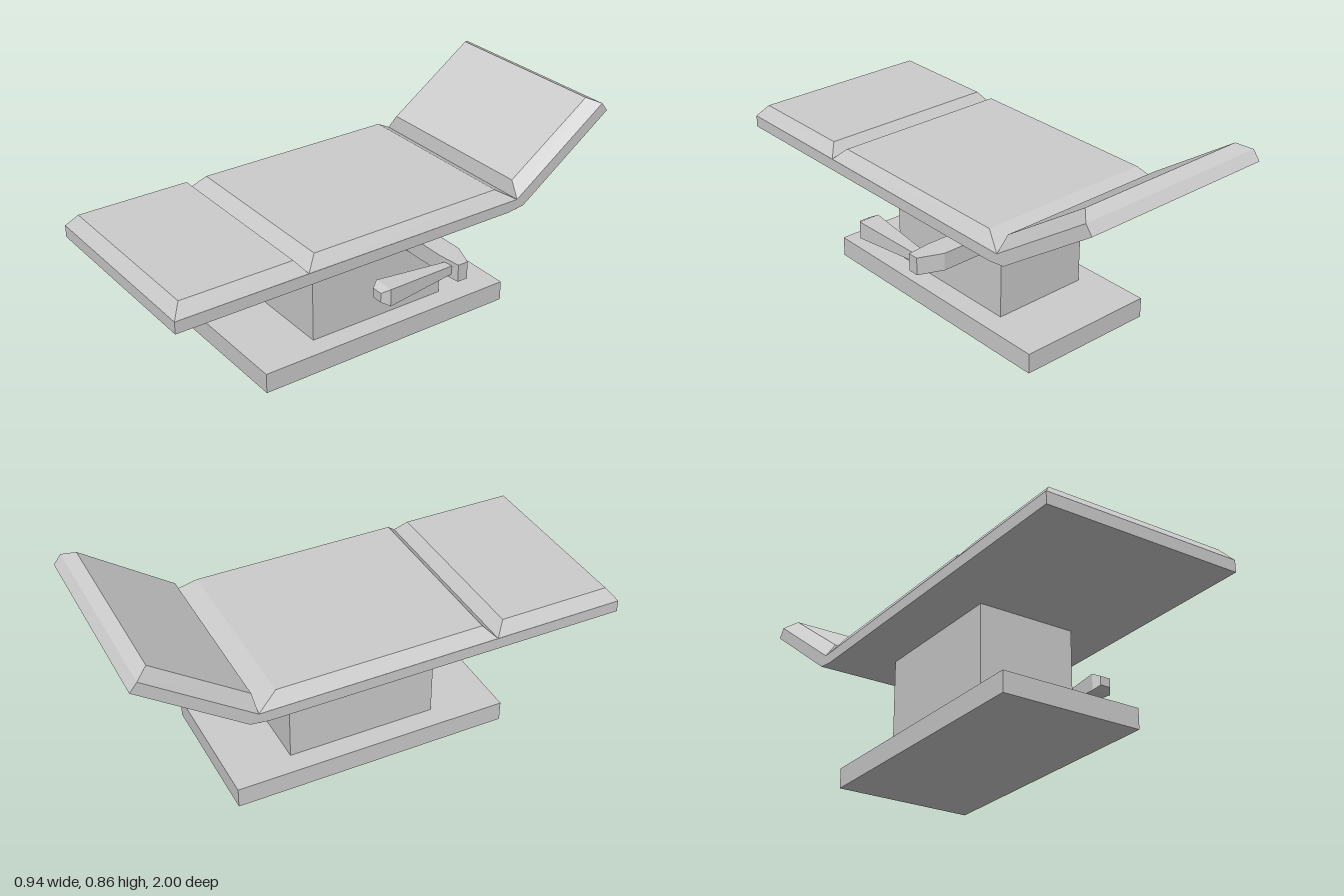
import * as THREE from 'three';

const material = new THREE.MeshStandardMaterial({ color: 0xcccccc, flatShading: true, side: THREE.DoubleSide });

function addMesh(group, name, geometry) {
  const mesh = new THREE.Mesh(geometry, material);
  mesh.name = name;
  group.add(mesh);
}

// Closed solid through four-cornered rings, each anticlockwise seen from the end
function loft(rings) {
  const points = [];
  const quad = (a, b, c, d) => points.push(...a, ...b, ...c, ...a, ...c, ...d);
  quad(...[...rings[0]].reverse());
  for (let r = 0; r + 1 < rings.length; r++) {
    for (let i = 0; i < 4; i++) {
      const j = (i + 1) % 4;
      quad(rings[r][i], rings[r][j], rings[r + 1][j], rings[r + 1][i]);
    }
  }
  quad(...rings[rings.length - 1]);
  const geometry = new THREE.BufferGeometry();
  geometry.setAttribute('position', new THREE.Float32BufferAttribute(points, 3));
  geometry.computeVertexNormals();
  return geometry;
}

// Ring spanning x0..x1 between a front and a back [z, y] point
const flatRing = (x0, x1, [zf, yf], [zb, yb]) =>
  [[x0, yf, zf], [x1, yf, zf], [x1, yb, zb], [x0, yb, zb]];

// Upright ring at one z
const uprightRing = (z, x0, x1, y0, y1) =>
  [[x0, y0, z], [x1, y0, z], [x1, y1, z], [x0, y1, z]];

function box(x0, x1, y0, y1, z0, z1) {
  return new THREE.BoxGeometry(x1 - x0, y1 - y0, z1 - z0)
    .translate((x0 + x1) / 2, (y0 + y1) / 2, (z0 + z1) / 2);
}

// Prism from an outline of [u, v] points, with z taken as -u or -v after turning
function prism(outline, depth) {
  const shape = new THREE.Shape(outline.map(([u, v]) => new THREE.Vector2(u, v)));
  return new THREE.ExtrudeGeometry(shape, { depth, bevelEnabled: false });
}

export function createModel() {
  const model = new THREE.Group();
  model.name = 'recliningTable';
  const left = 0.37, right = -0.47;

  // Floor plate and column
  addMesh(model, 'base', box(-0.35, 0.25, 0, 0.085, -0.59, 0.57));
  addMesh(model, 'pedestal', box(-0.26, 0.16, 0.085, 0.49, -0.33, 0.295));

  // Bent bed frame, drawn from the side as [z, y]
  const frame = [[1, 0.49], [1, 0.54], [-0.54, 0.538], [-0.97, 0.84], [-1, 0.802], [-0.575, 0.502], [-0.5, 0.492]];
  addMesh(model, 'bedFrame',
    prism(frame.map(([z, y]) => [-z, y]), left - right).rotateY(Math.PI / 2).translate(right, 0, 0));

  // Shallow support under the bed
  addMesh(model, 'underside', loft([
    flatRing(-0.3, 0.2, [0.29, 0.484], [-0.33, 0.484]),
    flatRing(right, left, [0.42, 0.492], [-0.54, 0.496]),
  ]));

  // Cushions with sloping borders
  const cushions = [
    ['legCushion', [1, 0.54], [0.45, 0.54], [0.96, 0.59], [0.49, 0.59], 0.04],
    ['seatCushion', [0.45, 0.54], [-0.54, 0.538], [0.4, 0.59], [-0.455, 0.59], 0.04],
    ['backCushion', [-0.54, 0.538], [-0.97, 0.84], [-0.548, 0.603], [-0.92, 0.862], 0.045],
  ];
  for (const [name, lowFront, lowBack, topFront, topBack, inset] of cushions) {
    addMesh(model, name, loft([
      flatRing(right, left, lowFront, lowBack),
      flatRing(right + inset, left - inset, topFront, topBack),
    ]));
  }

  // Bent lever arm, drawn from above as [x, z]
  const arm = [[0.15, -0.25], [0.37, -0.25], [0.47, -0.21], [0.47, -0.165], [0.37, -0.155], [0.15, -0.155]];
  addMesh(model, 'leverArm',
    prism(arm.map(([x, z]) => [x, -z]), 0.073).rotateX(-Math.PI / 2).translate(0, 0.34, 0));

  // Flared lever grip
  addMesh(model, 'leverGrip', loft([
    uprightRing(-0.18, 0.398, 0.434, 0.36, 0.394),
    uprightRing(0.15, 0.373, 0.462, 0.34, 0.412),
    uprightRing(0.18, 0.392, 0.44, 0.357, 0.396),
  ]));

  return model;
}
